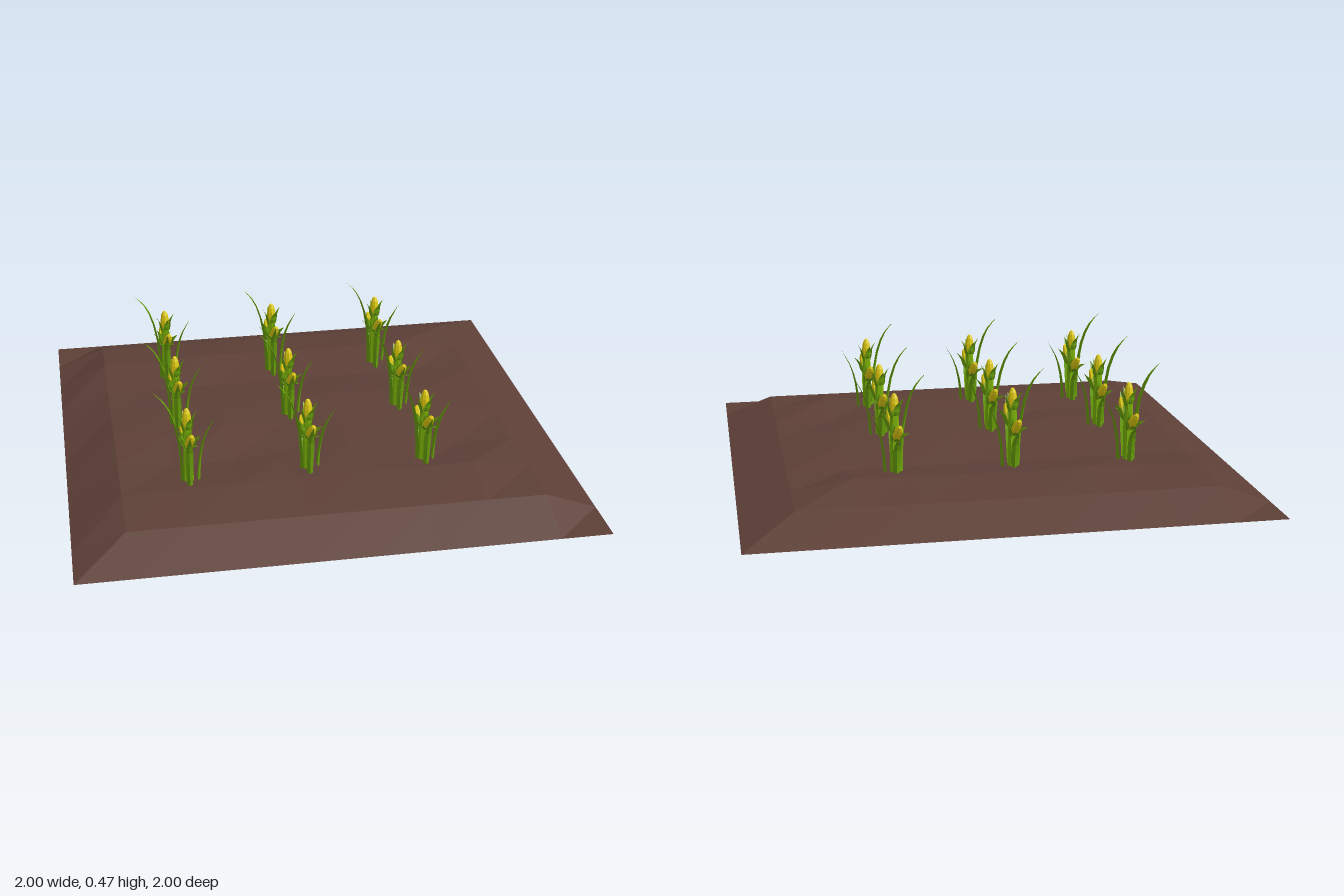
import * as THREE from 'three';

const material = (color) => new THREE.MeshStandardMaterial({ color, flatShading: true, side: THREE.DoubleSide });
const soilMat = material(0x5d4037);
const stalkMat = material(0x7cb305);
const leafMat = material(0x689f0a);
const cobMat = material(0xe0cc10);

function add(parent, name, geometry, mat) {
  const mesh = new THREE.Mesh(geometry, mat);
  mesh.name = name;
  parent.add(mesh);
  return mesh;
}

// Tapering blade following [outward, height] points; its fold flattens toward the tip
function bladeGeometry(path, width, fold) {
  const curve = new THREE.CatmullRomCurve3(path.map(([r, y]) => new THREE.Vector3(r, y, 0)));
  const steps = 7, pos = [], index = [];
  for (let i = 0; i <= steps; i++) {
    const t = i / steps;
    const p = curve.getPoint(t);
    const half = (width / 2) * Math.min(1, 0.6 + t) * Math.min(1, 2.2 * (1 - t));
    const depth = fold * (1 - t);
    pos.push(p.x - depth, p.y, -half, p.x, p.y, 0, p.x - depth, p.y, half);
    if (i === steps) continue;
    for (let k = 0; k < 2; k++) {
      const a = i * 3 + k;
      index.push(a, a + 3, a + 1, a + 1, a + 3, a + 4);
    }
  }
  const g = new THREE.BufferGeometry();
  g.setAttribute('position', new THREE.Float32BufferAttribute(pos, 3));
  g.setIndex(index);
  g.computeVertexNormals();
  return g;
}

// Open mound with gently uneven ridges
function soilBed() {
  const lines = [-1, -0.8, -0.58, -0.35, -0.12, 0.11, 0.34, 0.57, 0.8, 1];
  const heights = [ // millimetres-like units, back row to front row
    [75, 75, 75, 75, 75, 75, 75, 75],
    [100, 100, 113, 105, 105, 108, 115, 75],
    [75, 75, 75, 75, 75, 75, 75, 75],
    [85, 95, 100, 100, 115, 110, 100, 75],
    [100, 100, 113, 100, 115, 110, 100, 75],
    [95, 80, 80, 95, 115, 105, 75, 75],
    [95, 100, 105, 105, 110, 110, 115, 75],
    [75, 75, 75, 75, 75, 75, 75, 75],
  ];
  const g = new THREE.PlaneGeometry(2, 2, 9, 9).rotateX(-Math.PI / 2);
  const p = g.attributes.position;
  for (let j = 0; j < 10; j++) {
    for (let i = 0; i < 10; i++) {
      const h = heights[j - 1]?.[i - 1] ?? 0;
      p.setXYZ(j * 10 + i, lines[i], h / 1000, lines[j]);
    }
  }
  g.computeVertexNormals();
  return g;
}

const cobGeo = new THREE.SphereGeometry(1, 8, 7).scale(0.018, 0.052, 0.018);
const stalkGeo = new THREE.CylinderGeometry(0.016, 0.021, 0.27, 7).translate(0, 0.205, 0);
const huskGeo = bladeGeometry([[0.008, -0.06], [0.022, -0.03], [0.025, 0], [0.042, 0.03]], 0.026, 0.006);

// Long blades: outward path, turn about the stalk, width
const blades = [
  { path: [[0.03, 0.06], [0.035, 0.24], [0.06, 0.37], [0.09, 0.435], [0.125, 0.475]], turn: Math.PI, width: 0.036 },
  { path: [[0.045, 0.06], [0.05, 0.18], [0.072, 0.28], [0.11, 0.355]], turn: 0, width: 0.032 },
  { path: [[0.06, 0.06], [0.066, 0.18], [0.082, 0.27], [0.13, 0.34]], turn: -Math.PI / 2, width: 0.03 },
  { path: [[0.05, 0.06], [0.055, 0.13], [0.075, 0.21], [0.115, 0.25]], turn: Math.PI / 2, width: 0.03 },
].map((b) => ({ ...b, geometry: bladeGeometry(b.path, b.width, 0.012) }));

// Ears: position and lean about x and z
const ears = [
  { at: [0, 0.35, 0], lean: [0, 0], husks: 4 },
  { at: [0.005, 0.28, 0.045], lean: [0.65, -0.12], husks: 5 },
  { at: [-0.005, 0.255, -0.052], lean: [-0.75, 0.12], husks: 5 },
];

function createPlant() {
  const plant = new THREE.Group();
  plant.name = 'cornPlant';
  add(plant, 'stalk', stalkGeo, stalkMat);
  for (const b of blades) add(plant, 'longLeaf', b.geometry, leafMat).rotation.y = b.turn;
  for (const e of ears) {
    const ear = new THREE.Group();
    ear.name = 'ear';
    ear.position.set(...e.at);
    ear.rotation.set(e.lean[0], 0, e.lean[1]);
    add(ear, 'cob', cobGeo, cobMat);
    for (let i = 0; i < e.husks; i++) {
      const husk = add(ear, 'huskLeaf', huskGeo, leafMat);
      husk.rotation.y = (i / e.husks) * Math.PI * 2 + 0.3;
      husk.scale.y = i % 2 ? 0.8 : 1;
    }
    plant.add(ear);
  }
  return plant;
}

export function createModel() {
  const model = new THREE.Group();
  model.name = 'cornField';
  add(model, 'soilBed', soilBed(), soilMat);
  for (const z of [-0.445, 0.02, 0.485]) {
    for (const x of [-0.535, -0.07, 0.39]) {
      const plant = createPlant();
      plant.position.set(x, 0, z);
      model.add(plant);
    }
  }
  return model;
}
